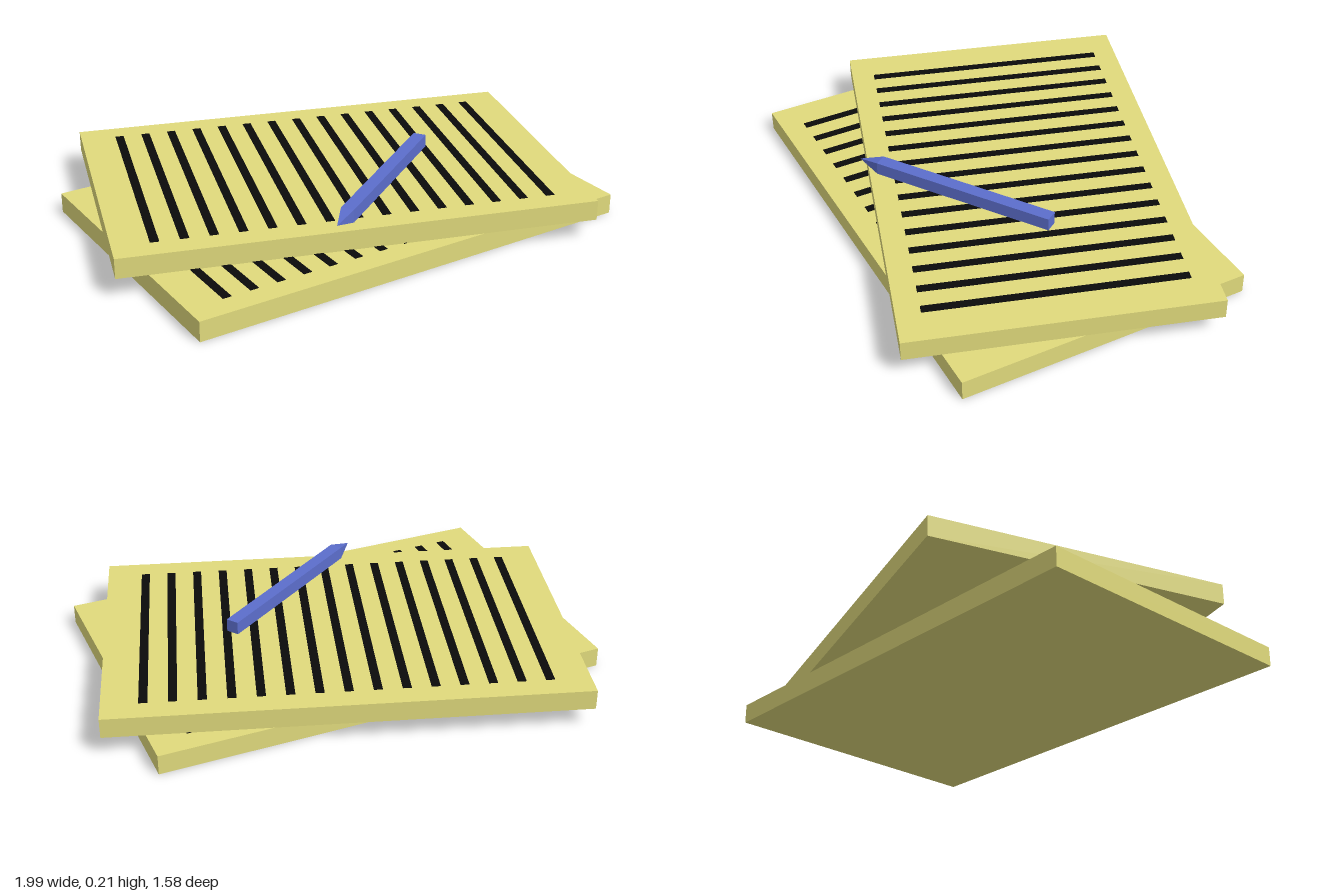
import * as THREE from 'three';

const W = 1.737, D = 1.11, H = 0.075; // pad size
const paper = new THREE.MeshStandardMaterial({ color: 0xe0da7c });
const ink = new THREE.MeshStandardMaterial({ color: 0x0a0a0a });
const blue = new THREE.MeshStandardMaterial({ color: 0x5c6ecc, flatShading: true });

function addMesh(parent, name, geometry, material, x = 0, y = 0, z = 0) {
  const mesh = new THREE.Mesh(geometry, material);
  mesh.name = name;
  mesh.position.set(x, y, z);
  parent.add(mesh);
  return mesh;
}

// A thick pad with 15 ruled lines on its top face
function createPad(name) {
  const pad = new THREE.Group();
  pad.name = name;
  addMesh(pad, 'padBlock', new THREE.BoxGeometry(W, H, D), paper, 0, H / 2, 0);
  const line = new THREE.BoxGeometry(0.032, 0.004, 0.935);
  for (let i = 0; i < 15; i++) {
    addMesh(pad, 'ruledLine', line, ink, -0.72 + i * (1.44 / 14), H, 0);
  }
  return pad;
}

// Square pen pointing along local +x, its tip at the origin
function createPen() {
  const pen = new THREE.Group();
  pen.name = 'pen';
  const length = 0.807, tip = 0.09, w = 0.049;
  addMesh(pen, 'penBody', new THREE.BoxGeometry(length - tip, w, w), blue, -(length + tip) / 2, 0, 0);
  const point = new THREE.ConeGeometry(w / Math.SQRT2, tip, 4);
  point.rotateY(Math.PI / 4);
  point.rotateZ(-Math.PI / 2);
  addMesh(pen, 'penTip', point, blue, -tip / 2, 0, 0);
  return pen;
}

export function createModel() {
  const model = new THREE.Group();
  model.name = 'notepadsAndPen';

  const lower = createPad('lowerPad');
  lower.position.set(-0.02, 0, 0.107);

  // Upper pad lies turned on the lower one
  const upper = createPad('upperPad');
  upper.position.set(0, H, 0);
  upper.rotation.y = -0.307;

  const pen = createPen();
  pen.position.set(-0.282, 0.19, 0.522);
  pen.rotation.y = Math.atan2(-0.45, -0.67);

  model.add(lower, upper, pen);
  return model;
}
